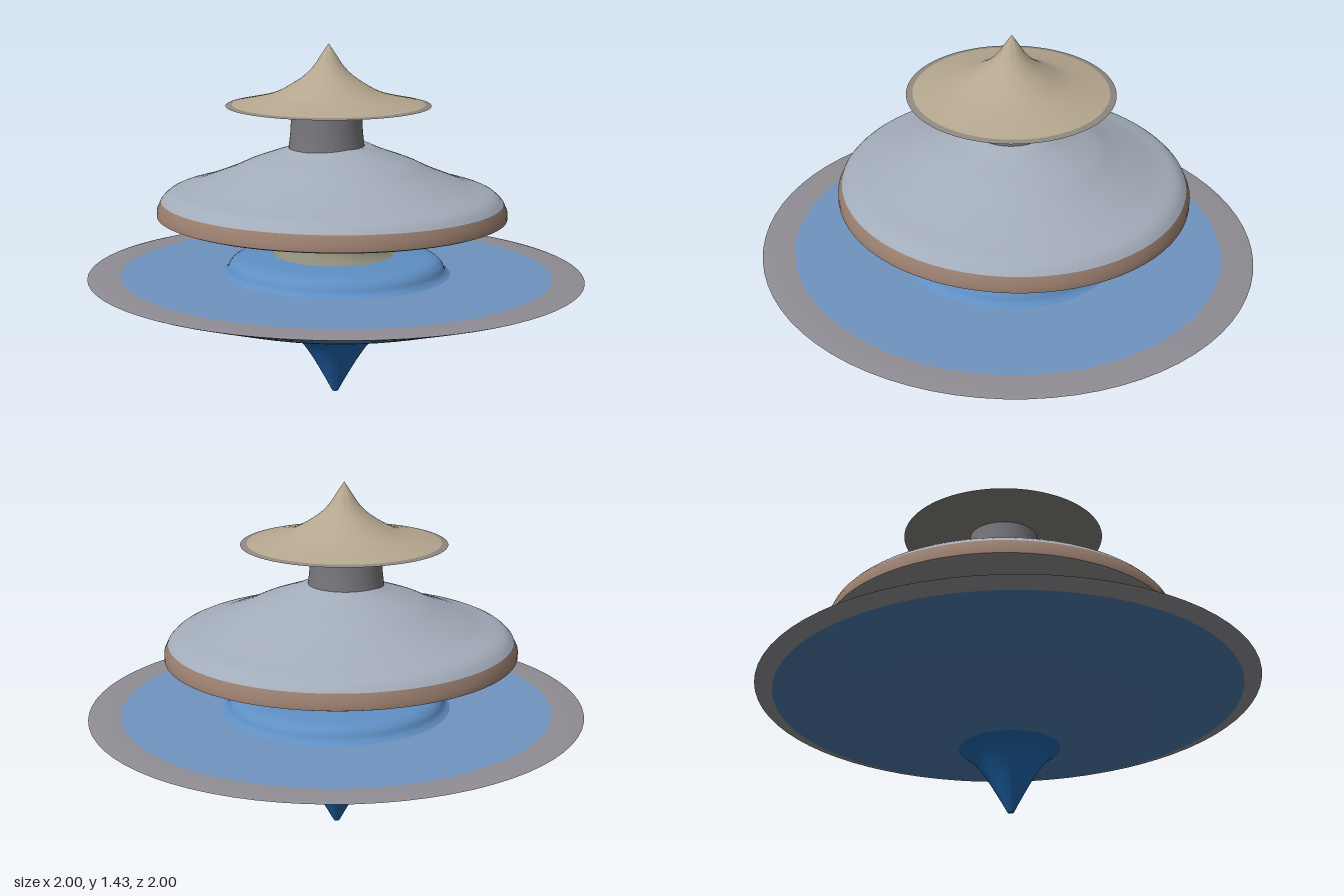
import * as THREE from 'three';
import { toCreasedNormals } from 'three/addons/utils/BufferGeometryUtils.js';

const SEGMENTS = 72;

// Smooth curve through [radius, y] points
const curve = (points, steps = 20) =>
  new THREE.SplineCurve(points.map(([r, y]) => new THREE.Vector2(r, y)))
    .getPoints(steps)
    .map((p) => [Math.max(p.x, 0), p.y]);

// Turned part; the profile runs from the bottom, outward and up
function turned(name, color, profile) {
  const points = profile.map(([r, y]) => new THREE.Vector2(r, y));
  const geometry = toCreasedNormals(new THREE.LatheGeometry(points, SEGMENTS), 0.6);
  const material = new THREE.MeshStandardMaterial({ color, side: THREE.DoubleSide });
  const mesh = new THREE.Mesh(geometry, material);
  mesh.name = name;
  return mesh;
}

// A tier is placed at its own height, slightly off-centre and leaning
function tier(name, [x, y, z], [slopeX, slopeZ], meshes) {
  const group = new THREE.Group();
  group.name = name;
  group.position.set(x, y, z);
  group.rotation.set(-slopeZ, 0, slopeX);
  group.add(...meshes);
  return group;
}

export function createModel() {
  const model = new THREE.Group();
  model.name = 'spinningTop';

  // Wide spinning body with a pointed foot, heights relative to the rim
  const body = tier('body', [0, 0.5, 0], [-0.008, 0.02], [
    turned('foot', 0x1f66ad, [
      [0, -0.5],
      ...curve([[0.012, -0.5], [0.05, -0.43], [0.1, -0.345], [0.15, -0.277], [0.2, -0.24]], 14),
    ]),
    turned('hull', 0x4a78a8, curve(
      [[0.2, -0.24], [0.27, -0.212], [0.4, -0.185], [0.6, -0.13], [0.8, -0.066], [0.93, -0.024]])),
    turned('hullRim', 0x8f8d93, [[0.93, -0.024], [0.985, -0.006], [1, 0], [0.985, 0.003], [0.87, 0.004]]),
    turned('deck', 0x6f93bf, [[0.87, 0.004], [0.7, 0.005], [0.45, 0.006]]),
    // Raised step in the middle of the deck
    turned('step', 0x5f8fc4, [
      ...curve([[0.465, 0.004], [0.443, 0.02], [0.43, 0.045], [0.405, 0.065], [0.36, 0.074]], 12),
      [0.22, 0.08],
    ]),
  ]);
  body.position.set(0, 0.5, 0);

  // Flared post between body and canopy
  const post = tier('lowerPost', [-0.008, 0.575, -0.012], [-0.012, 0.02], [
    turned('lowerPostShaft', 0x8c8a78,
      curve([[0.25, 0], [0.21, 0.025], [0.188, 0.07], [0.178, 0.12], [0.172, 0.17]], 14)),
  ]);

  // Domed canopy with a coloured edge band and flat underside
  const canopy = tier('canopy', [-0.016, 0.735, -0.025], [-0.01, 0.016], [
    turned('canopyUnderside', 0x8c8c88, [[0.1, 0.008], [0.64, 0.004], [0.69, -0.002], [0.706, 0.004]]),
    turned('canopyBand', 0x9c8070, [[0.706, 0.004], [0.706, 0.03], [0.69, 0.065]]),
    turned('canopyDome', 0xa3acba, [
      ...curve([[0.69, 0.065], [0.652, 0.098], [0.565, 0.124], [0.49, 0.152], [0.41, 0.184],
        [0.34, 0.217], [0.27, 0.243], [0.2, 0.268], [0.155, 0.288]], 28),
      [0, 0.29],
    ]),
  ]);

  // Narrow post under the cap
  const neck = tier('upperPost', [-0.038, 1.015, -0.012], [0, 0], [
    turned('upperPostShaft', 0x77777c, [[0.152, 0], [0.145, 0.06], [0.139, 0.17]]),
  ]);

  // Pointed cap with a thin brim
  const cap = tier('cap', [-0.03, 1.18, -0.016], [-0.002, 0.006], [
    turned('capUnderside', 0x85817a, [[0, 0.004], [0.395, 0.002], [0.41, 0.004]]),
    turned('capBrim', 0x8f8880, [[0.41, 0.004], [0.385, 0.009]]),
    turned('capRoof', 0xb5a78f, curve(
      [[0.385, 0.009], [0.29, 0.03], [0.22, 0.05], [0.16, 0.08], [0.1, 0.12], [0.06, 0.16],
        [0.03, 0.205], [0, 0.25]], 28)),
  ]);

  model.add(body, post, canopy, neck, cap);
  return model;
}
